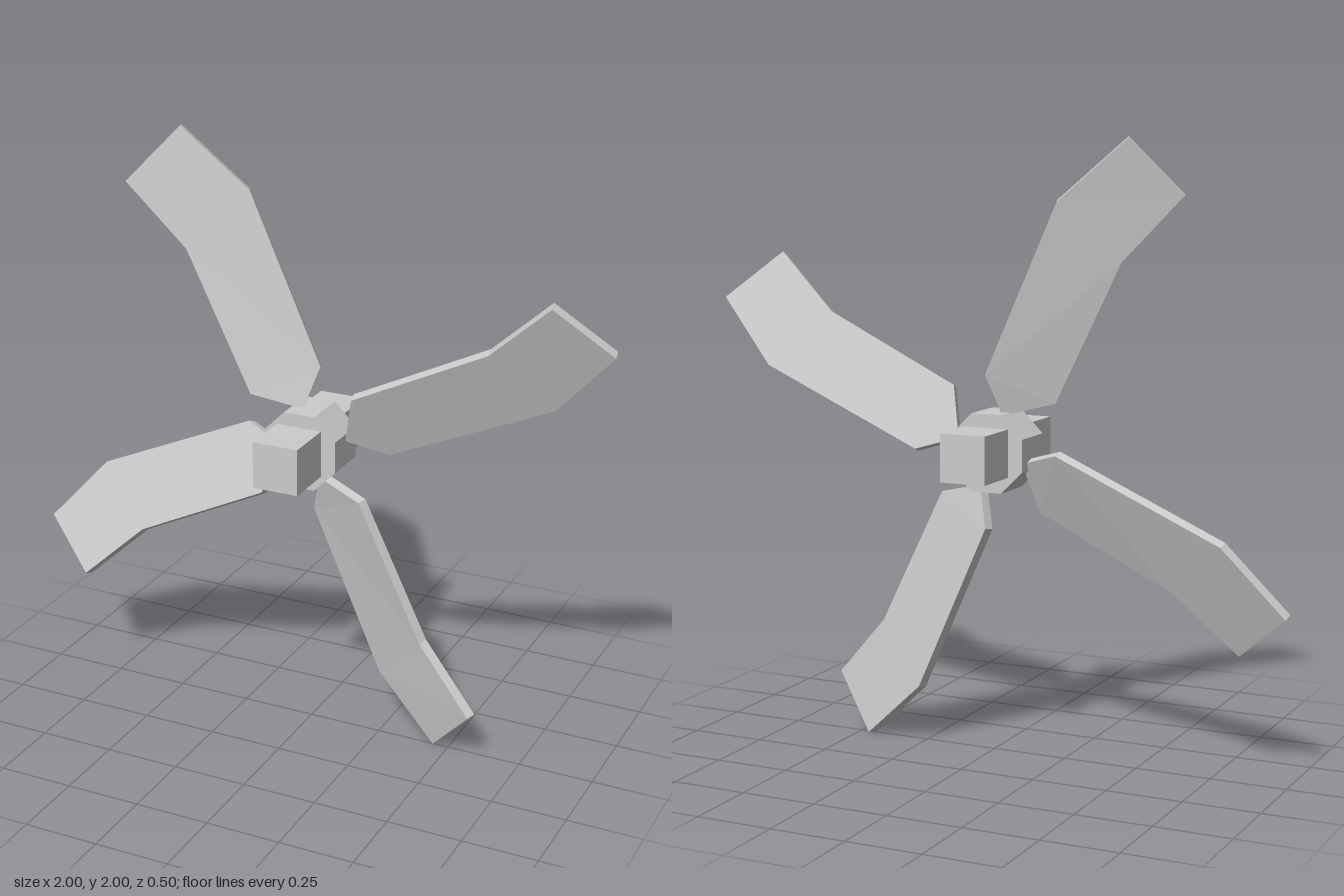
import * as THREE from 'three';

const material = new THREE.MeshStandardMaterial({ color: 0xcccccc, flatShading: true });

// Blade mid-surface outline, counter-clockwise from the front: root, then up the
// trailing side, across the tip and down the leading side.
const outline = [
  [-0.03, 0.115, -0.02], // root
  [0.01, 0.25, -0.065], // inner trailing corner
  [-0.235, 0.80, -0.062], // trailing bend
  [-0.452, 0.996, -0.013], // tip, trailing
  [-0.605, 0.82, 0.073], // tip, leading
  [-0.415, 0.612, 0.032], // leading bend
  [-0.193, 0.157, 0.03], // inner leading corner
].map((p) => new THREE.Vector3(...p));
const panels = [[0, 1, 6], [1, 2, 5], [1, 5, 6], [2, 3, 4], [2, 4, 5]];

// A folded plate: the outline is offset to both sides and closed by a rim.
function bladeGeometry(thickness) {
  const normalOf = (a, b, c) => new THREE.Triangle(outline[a], outline[b], outline[c]).getNormal(new THREE.Vector3());
  const inner = normalOf(1, 2, 5);
  const tip = normalOf(2, 3, 4);
  const fold = inner.clone().add(tip).normalize();
  const normals = [inner, inner, fold, tip, tip, fold, inner];

  const n = outline.length;
  const positions = [];
  for (const side of [0.5, -0.5]) {
    outline.forEach((p, i) => positions.push(...p.clone().addScaledVector(normals[i], side * thickness).toArray()));
  }
  const index = [];
  for (const [a, b, c] of panels) index.push(a, b, c, a + n, c + n, b + n);
  for (let i = 0; i < n; i++) {
    const j = (i + 1) % n;
    index.push(i, i + n, j + n, i, j + n, j);
  }
  const geometry = new THREE.BufferGeometry();
  geometry.setAttribute('position', new THREE.Float32BufferAttribute(positions, 3));
  geometry.setIndex(index);
  const flat = geometry.toNonIndexed();
  flat.computeVertexNormals();
  return flat;
}

export function createModel() {
  const group = new THREE.Group();
  group.name = 'propeller';
  const add = (name, geometry, x, y, z) => {
    const mesh = new THREE.Mesh(geometry, material);
    mesh.name = name;
    mesh.position.set(x, y, z);
    group.add(mesh);
    return mesh;
  };

  // Octagonal hub with flats at top, bottom and sides
  const hub = new THREE.CylinderGeometry(0.137, 0.137, 0.157, 8);
  hub.rotateY(Math.PI / 8).rotateX(Math.PI / 2);
  add('hub', hub, -0.007, 0.997, 0);

  // Square axle through the hub
  add('axle', new THREE.BoxGeometry(0.155, 0.155, 0.5), -0.007, 1.002, 0);

  // Four bent blades; the upper one sits slightly forward
  const blade = bladeGeometry(0.033);
  ['upperBlade', 'rightBlade', 'lowerBlade', 'leftBlade'].forEach((name, i) => {
    add(name, blade, 0, 1, i === 0 ? 0.017 : 0).rotation.z = (i * Math.PI) / 2;
  });
  return group;
}
